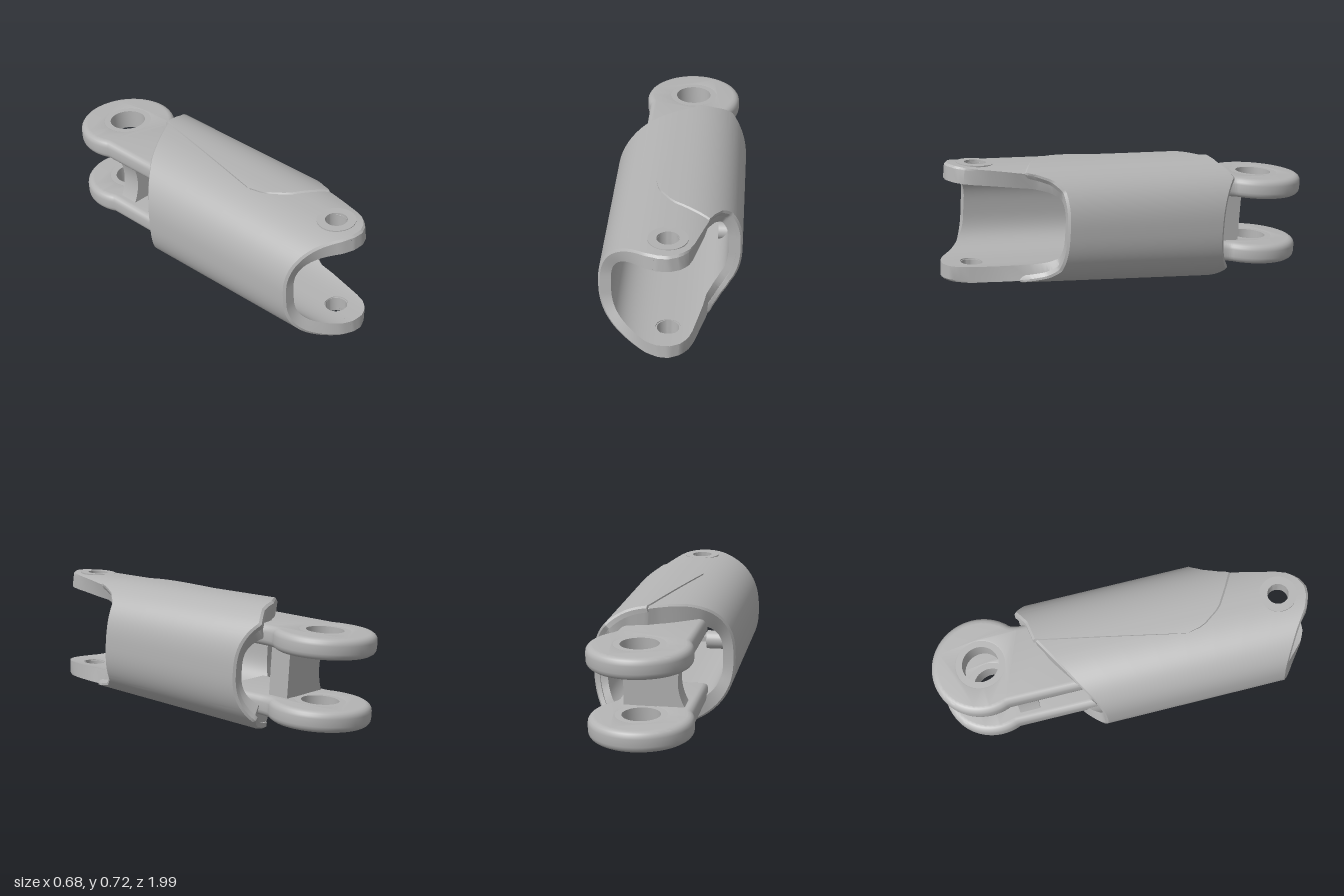
import * as THREE from 'three';
import { toCreasedNormals } from 'three/addons/utils/BufferGeometryUtils.js';

const TILT = 0.07, A = 0.338, POWER = 2.5;      // lean, half width and squareness of the sleeve
const HOLE = { x: 0, z: 0.83, r: 0.055 };       // pivot hole in the front tabs
const EYE = { x: 0.037, z: -0.725, r: 0.257 };  // rear lugs

const halfHeight = z => 0.315 - 0.02 * z;

// Piecewise linear curve through [x, z] pairs
const curve = pts => x => {
  if (x <= pts[0][0]) return pts[0][1];
  for (let i = 1; i < pts.length; i++) {
    const [x0, z0] = pts[i - 1], [x1, z1] = pts[i];
    if (x <= x1) return z0 + (z1 - z0) * (x - x0) / (x1 - x0);
  }
  return pts[pts.length - 1][1];
};

const frontEdge = curve([[-0.335, 0.8], [-0.2, 0.885], [-0.1, 0.955], [-0.04, 0.978], [0.01, 0.982], [0.07, 0.955],
  [0.115, 0.9], [0.18, 0.66], [0.195, 0.58], [0.24, 0.5], [0.285, 0.45], [0.335, 0.435]]);
const backEdge = curve([[-0.338, -0.17], [-0.2, -0.27], [0.06, -0.42], [0.17, -0.44], [0.26, -0.49], [0.338, -0.41]]);
const coverFront = curve([[-0.09, 0.345], [-0.085, 0.39], [-0.065, 0.44], [0, 0.53], [0.1, 0.59], [0.185, 0.635],
  [0.2, 0.59], [0.24, 0.51], [0.285, 0.46], [0.335, 0.445]]);
const coverBack = curve([[-0.09, 0.325], [-0.075, 0.24], [0.06, -0.43], [0.17, -0.45], [0.26, -0.5], [0.338, -0.42]]);

const spow = (v, p) => Math.sign(v) * Math.pow(Math.abs(v), p);
const section = (t, z, a, h, n) => [a * spow(Math.cos(t), 2 / n), h * spow(Math.sin(t), 2 / n), z];
const angleAt = x => Math.acos(spow(x / A, POWER / 2));
const range = (n, a, b) => Array.from({ length: n + 1 }, (_, i) => a + (b - a) * i / n);

// Curved wall: each angle is a column running from back(x) to front(x), with chamfered ends
function wall(angles, back, front, grow, inner) {
  const rows = 8, pos = [], idx = [];
  for (const t of angles) {
    const x = section(t, 0, A, 1, POWER)[0];
    const zb = back(x), zf = Math.max(front(x), zb + 0.001), b = Math.min(0.012, (zf - zb) / 4);
    const outer = (z, d) => pos.push(...section(t, z, A + grow - d, halfHeight(z) + grow - d, POWER));
    outer(zb, 0.01);
    for (const z of range(rows, zb + b, zf - b)) outer(z, 0);
    outer(zf, 0.01);
    for (const z of range(rows, zf, zb)) pos.push(...inner(t, z));
  }
  const loop = 2 * rows + 4;
  for (let i = 0; i + 1 < angles.length; i++) {
    for (let j = 0; j < loop; j++) {
      const a = i * loop + j, d = i * loop + (j + 1) % loop;
      idx.push(a, a + loop, d, a + loop, d + loop, d);
    }
  }
  const g = new THREE.BufferGeometry();
  g.setAttribute('position', new THREE.Float32BufferAttribute(pos, 3));
  g.setIndex(idx);
  return toCreasedNormals(g, 0.5);
}

// Ring with a through bore, axis along y
function bush(rIn, rOut, height) {
  const h = height / 2;
  const pts = [[rIn, -h], [rOut, -h], [rOut, h], [rIn, h], [rIn, -h]].map(p => new THREE.Vector2(...p));
  return toCreasedNormals(new THREE.LatheGeometry(pts, 40), 0.5);
}

export function createModel() {
  const grey = new THREE.MeshStandardMaterial({ color: 0xb4b4b4 });
  grey.name = 'plain grey';
  const model = new THREE.Group();
  model.name = 'linkSegment';
  const body = new THREE.Group();
  body.name = 'tiltedBody';
  body.position.y = 0.35;
  body.rotation.x = -TILT;
  model.add(body);
  const add = (name, geometry, x = 0, y = 0, z = 0) => {
    const m = new THREE.Mesh(geometry, grey);
    m.name = name;
    m.position.set(x, y, z);
    body.add(m);
    return m;
  };

  // Sleeve with front tabs; columns crossing the pivot hole stop at its rear rim
  const inner = (t, z) => section(t, z, 0.275, 0.215, 3);
  const holeAngles = range(12, 0, Math.PI).map(k => angleAt(HOLE.x + HOLE.r * Math.cos(k)));
  const edge = [holeAngles[0] - 1e-4, ...holeAngles, holeAngles[12] + 1e-4];
  const angles = [...range(108, 0, 2 * Math.PI), ...edge, ...edge.map(t => 2 * Math.PI - t)].sort((a, b) => a - b);
  const rim = x => Math.sqrt(Math.max(0, HOLE.r ** 2 - (x - HOLE.x) ** 2));
  const inHole = x => Math.abs(x - HOLE.x) <= HOLE.r + 1e-6;
  add('sleeve', wall(angles, backEdge, x => inHole(x) ? HOLE.z - rim(x) : frontEdge(x), 0, inner));

  // Tab tips in front of the hole, and the bushes lining it
  for (const s of [1, -1]) {
    const tip = s > 0 ? holeAngles : holeAngles.map(t => 2 * Math.PI - t).reverse();
    add(s > 0 ? 'upperTabTip' : 'lowerTabTip', wall(tip, x => HOLE.z + rim(x), frontEdge, 0, inner));
    add(s > 0 ? 'upperTabBush' : 'lowerTabBush', bush(0.054, 0.095, 0.08), HOLE.x, s * 0.26, HOLE.z);
  }

  // Raised side cover whose edge makes the long seam
  const reach = angleAt(-0.09);
  add('sideCover', wall(range(100, -reach, reach), coverBack, coverFront, 0.007,
    (t, z) => section(t, z, A - 0.025, halfHeight(z) - 0.025, POWER)));

  // Rear clevis: two rounded lugs with bored eyes, drawn in x and -z
  const lug = new THREE.Shape();
  const cy = -EYE.z;
  lug.moveTo(-0.2, 0.2);
  lug.lineTo(0.2, 0.2);
  lug.lineTo(0.2, 0.47);
  lug.quadraticCurveTo(0.2, 0.53, EYE.x + EYE.r * Math.cos(-0.75), cy + EYE.r * Math.sin(-0.75));
  lug.absarc(EYE.x, cy, EYE.r, -0.75, Math.PI + 0.4, false);
  lug.lineTo(-0.2, 0.2);
  const bore = new THREE.Path();
  bore.absarc(EYE.x, cy, 0.1, 0, Math.PI * 2, true);
  lug.holes.push(bore);
  const bevel = 0.033, thick = 0.105;
  const lugGeo = new THREE.ExtrudeGeometry(lug, { depth: thick - 2 * bevel, bevelThickness: bevel, bevelSize: bevel,
    bevelOffset: -bevel, bevelSegments: 4, curveSegments: 40 });
  lugGeo.translate(0, 0, bevel - thick / 2).rotateX(-Math.PI / 2);
  const lugSmooth = toCreasedNormals(lugGeo, 0.6);
  for (const s of [1, -1]) {
    add(s > 0 ? 'upperLug' : 'lowerLug', lugSmooth, 0, s * 0.177, 0);
    add(s > 0 ? 'upperEyeBush' : 'lowerEyeBush', bush(0.095, 0.14, thick - 0.002), EYE.x, s * 0.177, EYE.z);
  }

  // Waisted web joining the lugs
  const web = new THREE.Shape();
  web.moveTo(-0.16, -0.14);
  web.lineTo(0.15, -0.14);
  web.lineTo(0.15, 0.14);
  web.lineTo(-0.16, 0.14);
  web.quadraticCurveTo(-0.08, 0, -0.16, -0.14);
  const webGeo = new THREE.ExtrudeGeometry(web, { depth: 0.11, bevelEnabled: false, curveSegments: 16 });
  add('lugWeb', toCreasedNormals(webGeo, 0.5), 0, 0, -0.605);

  // Inner bosses on the side walls
  for (const [name, x, y, r, len] of [['leftBoss', 0.25, 0.14, 0.05, 0.07], ['leftLowerBoss', 0.25, -0.13, 0.045, 0.07],
    ['rightBoss', -0.215, 0.01, 0.048, 0.13]]) {
    add(name, new THREE.CylinderGeometry(r, r, len, 24), x, y, 0.1).rotation.z = Math.PI / 2;
  }
  add('innerRib', new THREE.BoxGeometry(0.03, 0.05, 0.3), 0.02, 0.2, 0.3);
  return model;
}
